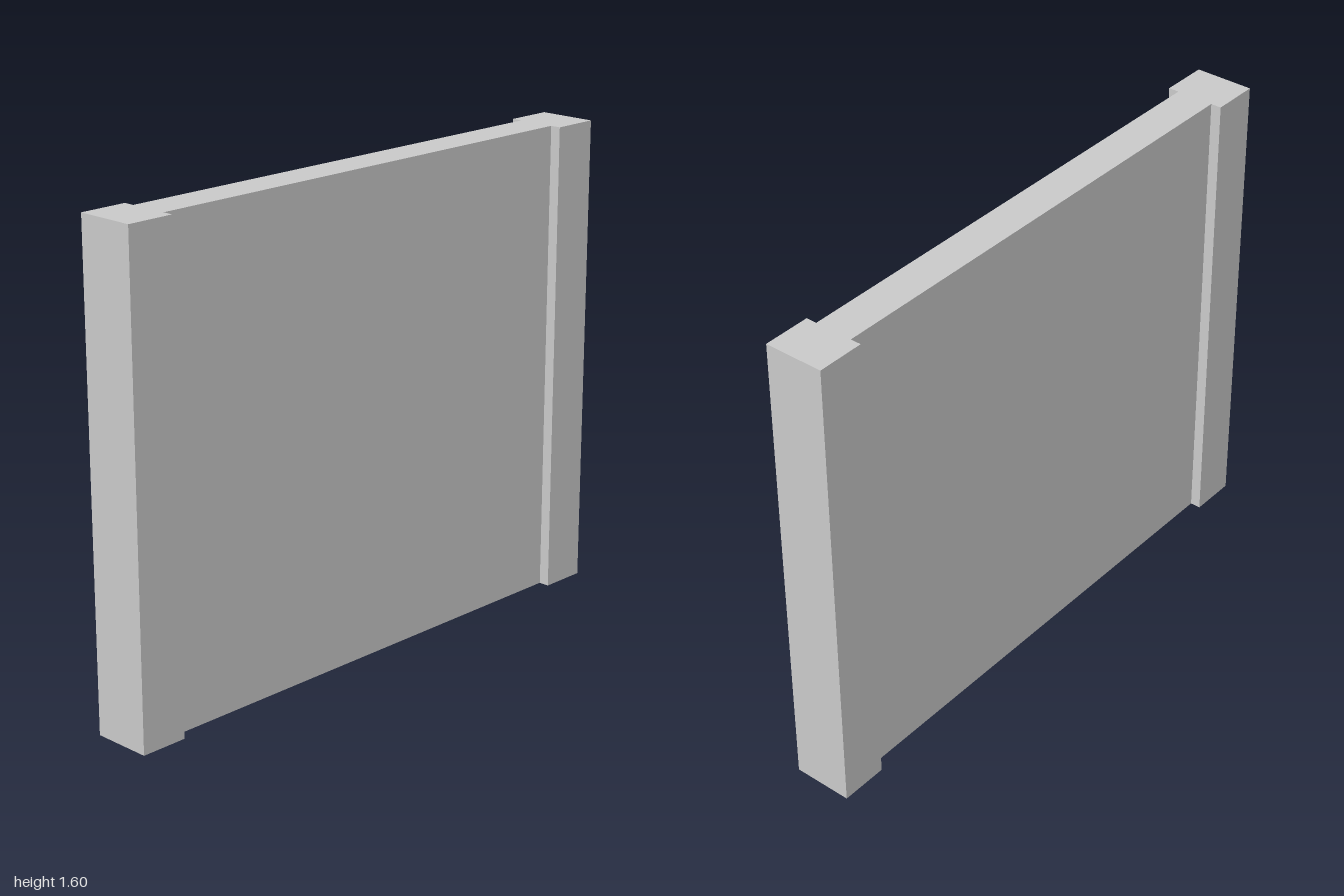
import * as THREE from 'three';

const HEIGHT = 1.6;
const WIDTH = 2;
const POST_WIDTH = 0.16;
const POST_DEPTH = 0.2;
const PANEL_DEPTH = 0.128;

export function createModel() {
  const group = new THREE.Group();
  group.name = 'wallPanel';
  const material = new THREE.MeshStandardMaterial({ color: 0xcccccc, flatShading: true });

  // Upright block standing on the ground, centred on z
  const addBlock = (name, width, depth, x) => {
    const mesh = new THREE.Mesh(new THREE.BoxGeometry(width, HEIGHT, depth), material);
    mesh.name = name;
    mesh.position.set(x, HEIGHT / 2, 0);
    group.add(mesh);
  };

  // Thin panel set between the two thicker end posts
  addBlock('panel', WIDTH - 2 * POST_WIDTH, PANEL_DEPTH, 0);
  for (const side of [1, -1]) {
    addBlock(side > 0 ? 'leftPost' : 'rightPost', POST_WIDTH, POST_DEPTH, side * (WIDTH - POST_WIDTH) / 2);
  }

  return group;
}
